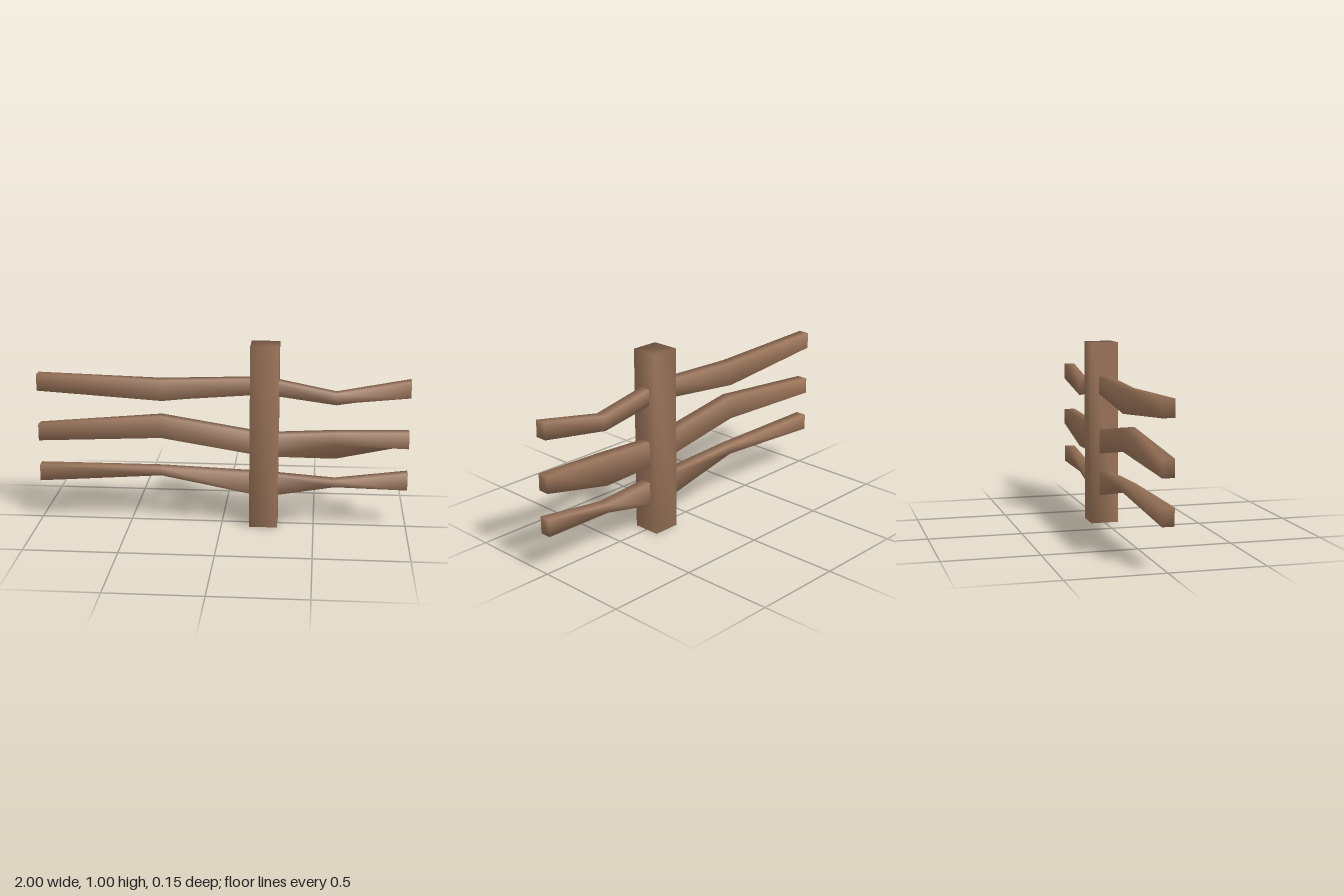
import * as THREE from 'three';

const HALF_Z = 0.031;
const STATIONS = [-1, -0.33, 0.23, 0.61, 1];

// Loft of four-cornered sections along x; corners are shared so the shading is soft.
// Each section is [top, bottom at front, bottom at back].
function loftRail(sections) {
  const pos = [], idx = [];
  sections.forEach(([top, front, back], i) => {
    const x = STATIONS[i];
    pos.push(x, top, HALF_Z, x, top, -HALF_Z, x, back, -HALF_Z, x, front, HALF_Z);
  });
  for (let i = 0; i < sections.length - 1; i++) {
    for (let k = 0; k < 4; k++) {
      const a = i * 4 + k, b = i * 4 + (k + 1) % 4;
      idx.push(a, a + 4, b, b, a + 4, b + 4);
    }
  }
  const e = (sections.length - 1) * 4;
  idx.push(0, 1, 2, 0, 2, 3, e, e + 2, e + 1, e, e + 3, e + 2);
  const geo = new THREE.BufferGeometry();
  geo.setAttribute('position', new THREE.Float32BufferAttribute(pos, 3));
  geo.setIndex(idx);
  geo.computeVertexNormals();
  return geo;
}

// Square post with corners shared between faces
function postGeometry(w, h, d) {
  const pos = [], idx = [];
  for (const y of [0, h]) {
    for (const [sx, sz] of [[1, 1], [1, -1], [-1, -1], [-1, 1]]) pos.push(sx * w / 2, y, sz * d / 2);
  }
  for (let k = 0; k < 4; k++) {
    const n = (k + 1) % 4;
    idx.push(k, n, k + 4, n, n + 4, k + 4);
  }
  idx.push(0, 2, 1, 0, 3, 2, 4, 5, 6, 4, 6, 7);
  const geo = new THREE.BufferGeometry();
  geo.setAttribute('position', new THREE.Float32BufferAttribute(pos, 3));
  geo.setIndex(idx);
  geo.computeVertexNormals();
  return geo;
}

export function createModel() {
  const group = new THREE.Group();
  group.name = 'fence';
  const wood = new THREE.MeshStandardMaterial({ color: 0x9b7459 });
  wood.name = 'brown wood';

  const post = new THREE.Mesh(postGeometry(0.152, 1.003, 0.152), wood);
  post.name = 'post';
  post.position.x = 0.228;
  group.add(post);

  // Crooked rails running through the post
  const rails = {
    topRail: [[0.82, 0.73, 0.73], [0.80, 0.69, 0.67], [0.82, 0.735, 0.73], [0.745, 0.69, 0.667], [0.82, 0.73, 0.73]],
    middleRail: [[0.54, 0.45, 0.45], [0.60, 0.48, 0.473], [0.51, 0.39, 0.377], [0.53, 0.46, 0.367], [0.54, 0.45, 0.45]],
    bottomRail: [[0.31, 0.22, 0.22], [0.31, 0.267, 0.26], [0.288, 0.16, 0.138], [0.26, 0.225, 0.215], [0.31, 0.217, 0.217]],
  };
  for (const [name, sections] of Object.entries(rails)) {
    const rail = new THREE.Mesh(loftRail(sections), wood);
    rail.name = name;
    group.add(rail);
  }
  return group;
}
